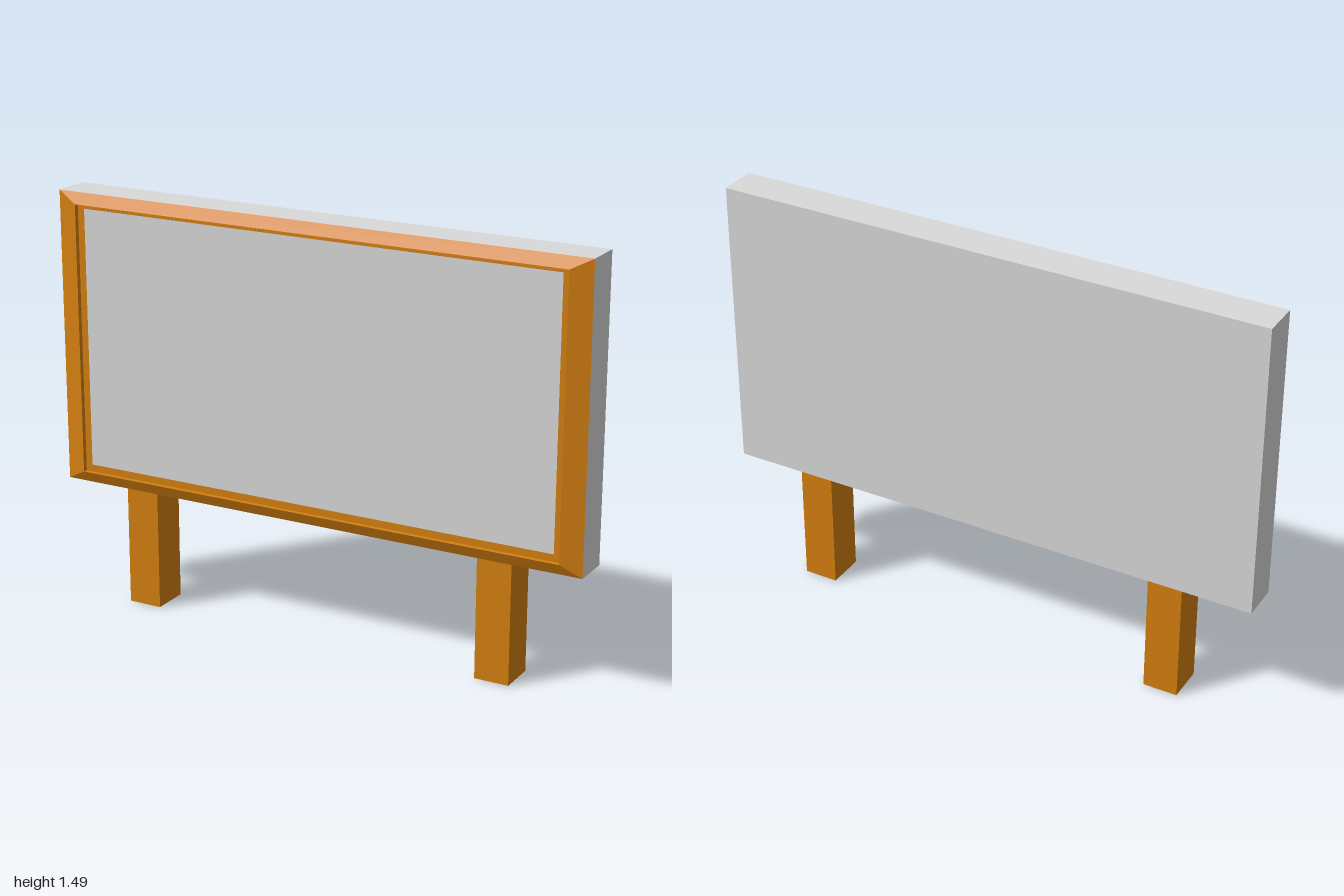
import * as THREE from 'three';

const orange = new THREE.MeshStandardMaterial({ color: 0xd68010 });
orange.name = 'orange';
const grey = new THREE.MeshStandardMaterial({ color: 0xdadada });
grey.name = 'lightGrey';

const FRONT = 0.06, BACK = -0.078;
const BOTTOM = 0.432, TOP = 1.49;

function addBox(group, name, material, [x0, x1], [y0, y1], [z0, z1]) {
  const mesh = new THREE.Mesh(new THREE.BoxGeometry(x1 - x0, y1 - y0, z1 - z0), material);
  mesh.position.set((x0 + x1) / 2, (y0 + y1) / 2, (z0 + z1) / 2);
  mesh.name = name;
  group.add(mesh);
}

// Joins nested rectangles (counter-clockwise from the front) into a mitred frame
function frameGeometry(rings) {
  const corners = rings.map(({ x, y0, y1, z }) => [[-x, y0, z], [x, y0, z], [x, y1, z], [-x, y1, z]]);
  const points = [];
  for (let r = 0; r < corners.length - 1; r++) {
    for (let i = 0; i < 4; i++) {
      const j = (i + 1) % 4;
      const a = corners[r][i], b = corners[r][j], c = corners[r + 1][j], d = corners[r + 1][i];
      points.push(...a, ...b, ...c, ...a, ...c, ...d);
    }
  }
  const geometry = new THREE.BufferGeometry();
  geometry.setAttribute('position', new THREE.Float32BufferAttribute(points, 3));
  geometry.computeVertexNormals();
  return geometry;
}

export function createModel() {
  const model = new THREE.Group();
  model.name = 'billboard';

  // Board, whose front face is the blank panel
  addBox(model, 'board', grey, [-1, 1], [BOTTOM, TOP], [BACK, FRONT]);

  // Bevelled frame: outer slope, inner wall, flat border around the panel
  const frame = new THREE.Mesh(frameGeometry([
    { x: 1, y0: BOTTOM, y1: TOP, z: FRONT },
    { x: 0.924, y0: 0.472, y1: 1.45, z: 0.079 },
    { x: 0.924, y0: 0.472, y1: 1.45, z: FRONT + 0.002 },
    { x: 0.898, y0: 0.498, y1: 1.434, z: FRONT + 0.002 },
  ]), orange);
  frame.name = 'frame';
  model.add(frame);

  // Two square posts
  addBox(model, 'leftPost', orange, [0.625, 0.75], [0, BOTTOM], [BACK, FRONT]);
  addBox(model, 'rightPost', orange, [-0.75, -0.625], [0, BOTTOM], [BACK, FRONT]);

  return model;
}
